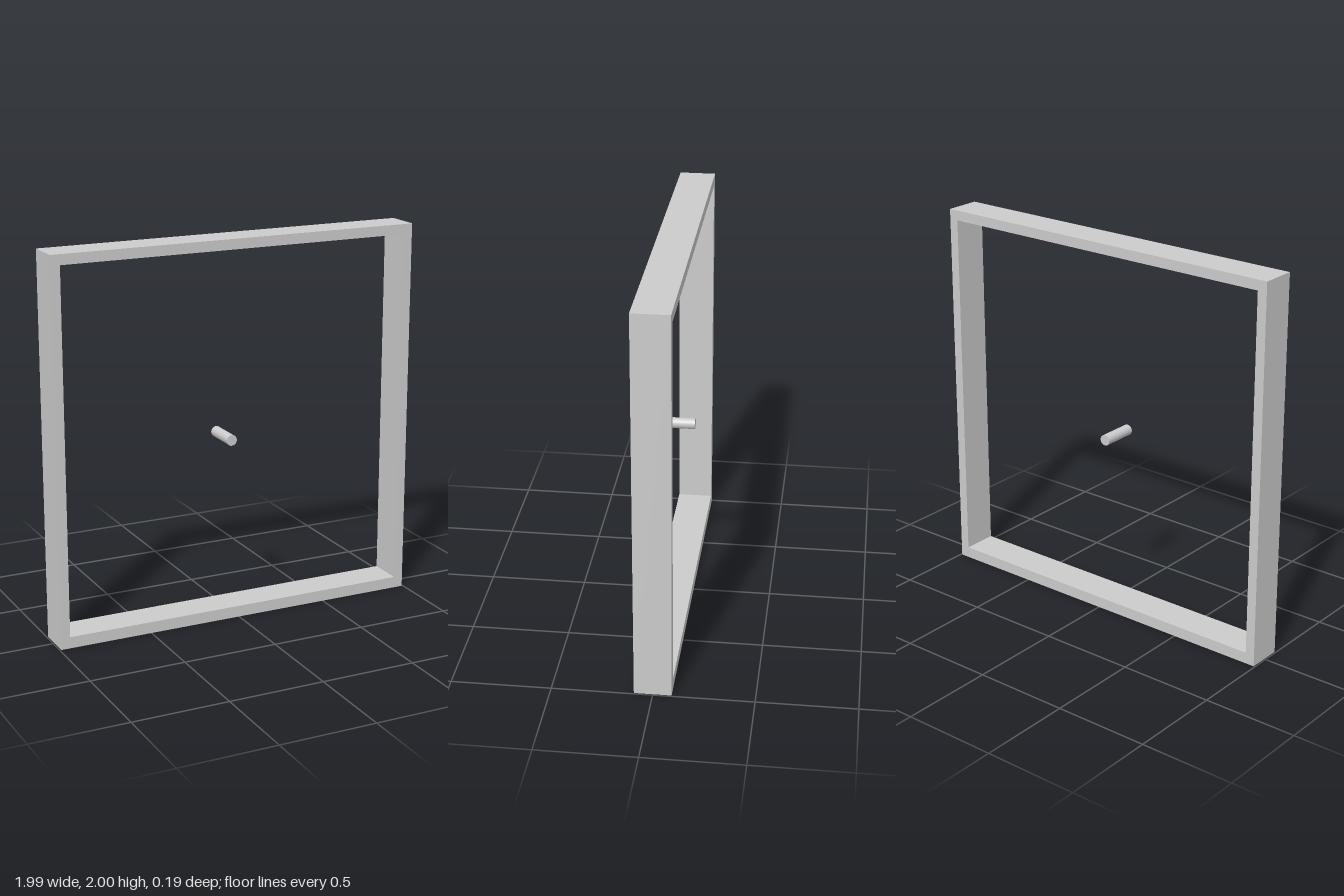
import * as THREE from 'three';

const W = 0.993; // half width
const D = 0.186; // depth

// Rectangular outline from two opposite corners
function rect(path, x0, y0, x1, y1) {
  path.moveTo(x0, y0);
  path.lineTo(x1, y0);
  path.lineTo(x1, y1);
  path.lineTo(x0, y1);
  path.closePath();
  return path;
}

export function createModel() {
  const group = new THREE.Group();
  const material = new THREE.MeshStandardMaterial({ color: 0xcccccc });

  // Square frame with an open middle
  const outline = rect(new THREE.Shape(), -W, 0, W, 2);
  outline.holes.push(rect(new THREE.Path(), -0.943, 0.06, 0.943, 1.947));
  const frameGeometry = new THREE.ExtrudeGeometry(outline, { depth: D, bevelEnabled: false });
  frameGeometry.translate(0, 0, -D / 2);
  const frame = new THREE.Mesh(frameGeometry, material);
  frame.name = 'frame';
  group.add(frame);

  // Small round pin, slightly off centre, running front to back
  const pinGeometry = new THREE.CylinderGeometry(0.028, 0.028, D, 32);
  pinGeometry.rotateX(Math.PI / 2);
  const pin = new THREE.Mesh(pinGeometry, material);
  pin.name = 'centrePin';
  pin.position.set(-0.042, 0.968, 0);
  group.add(pin);

  return group;
}
